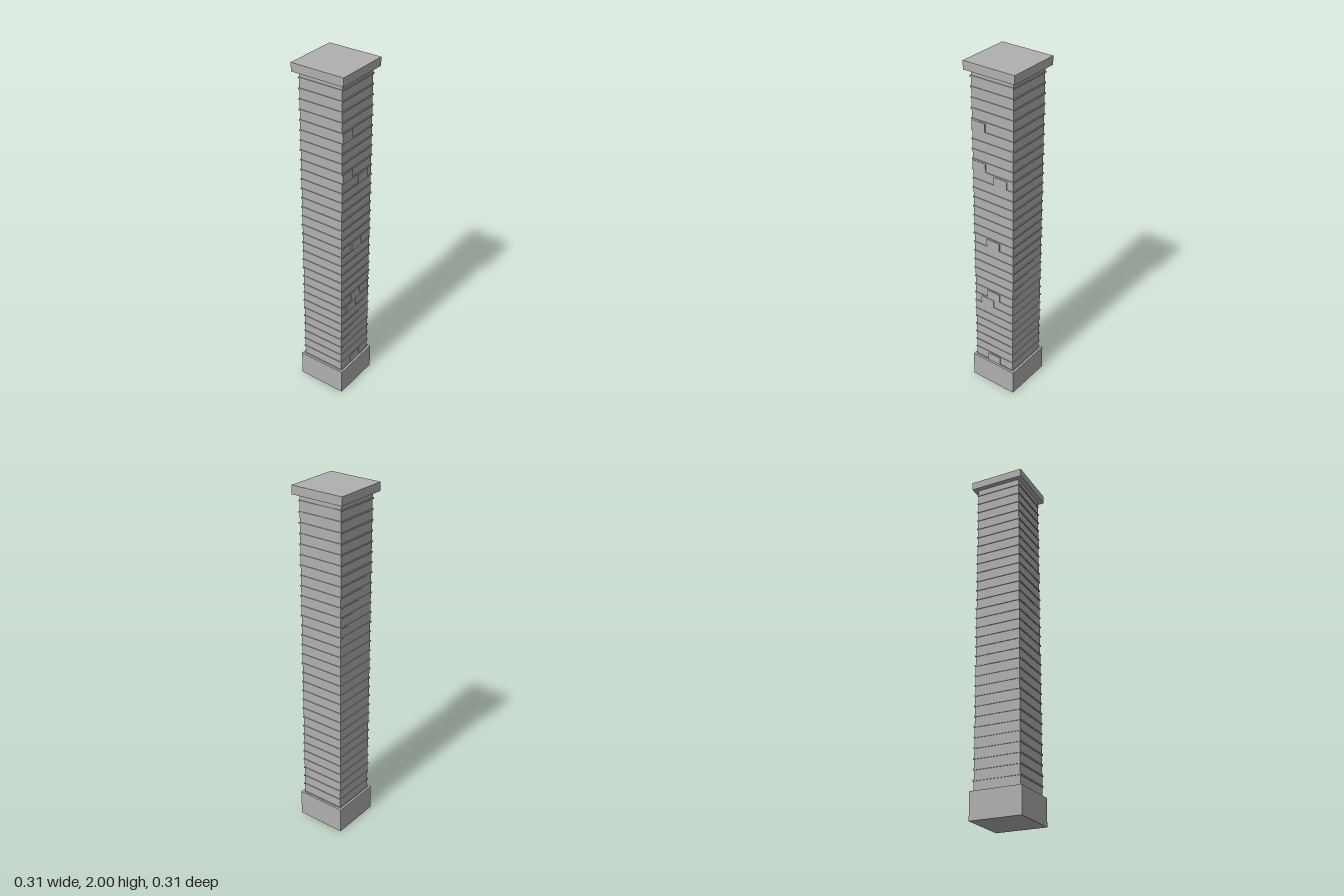
import * as THREE from 'three';

export function createModel() {
  const model = new THREE.Group();
  model.name = 'brickPillar';
  const stone = new THREE.MeshStandardMaterial({ color: 0xb0b0b0 });
  stone.name = 'grey stone';

  // Box given by its size, bottom height and centre in x and z
  function block(name, w, h, d, bottom, x = 0, z = 0) {
    const mesh = new THREE.Mesh(new THREE.BoxGeometry(w, h, d), stone);
    mesh.name = name;
    mesh.position.set(x, bottom + h / 2, z);
    model.add(mesh);
  }

  const baseTop = 0.151, capBottom = 1.953, half = 0.13;
  const course = 0.057, courses = 32, joint = 0.008;

  // Plinth, shaft and cap slab
  block('base', 0.292, baseTop, 0.292, 0);
  block('shaft', half * 2, capBottom - baseTop, half * 2, baseTop);
  block('cap', 0.314, 2 - capBottom, 0.314, capBottom);

  // Thin raised joints around every course
  for (let i = 0; i < courses; i++) {
    block('courseJoint', 0.268, joint, 0.268, baseTop + i * course - joint / 2);
  }

  // A few bricks standing proud of the front: [course, centre x]
  const bricks = [[0, 0], [7, -0.043], [8, 0], [14, 0], [21, 0.05], [22, -0.087], [26, -0.087]];
  for (const [row, x] of bricks) {
    block('raisedBrick', 0.085, course - joint, 0.012, baseTop + row * course + joint / 2, x, half);
  }

  return model;
}
